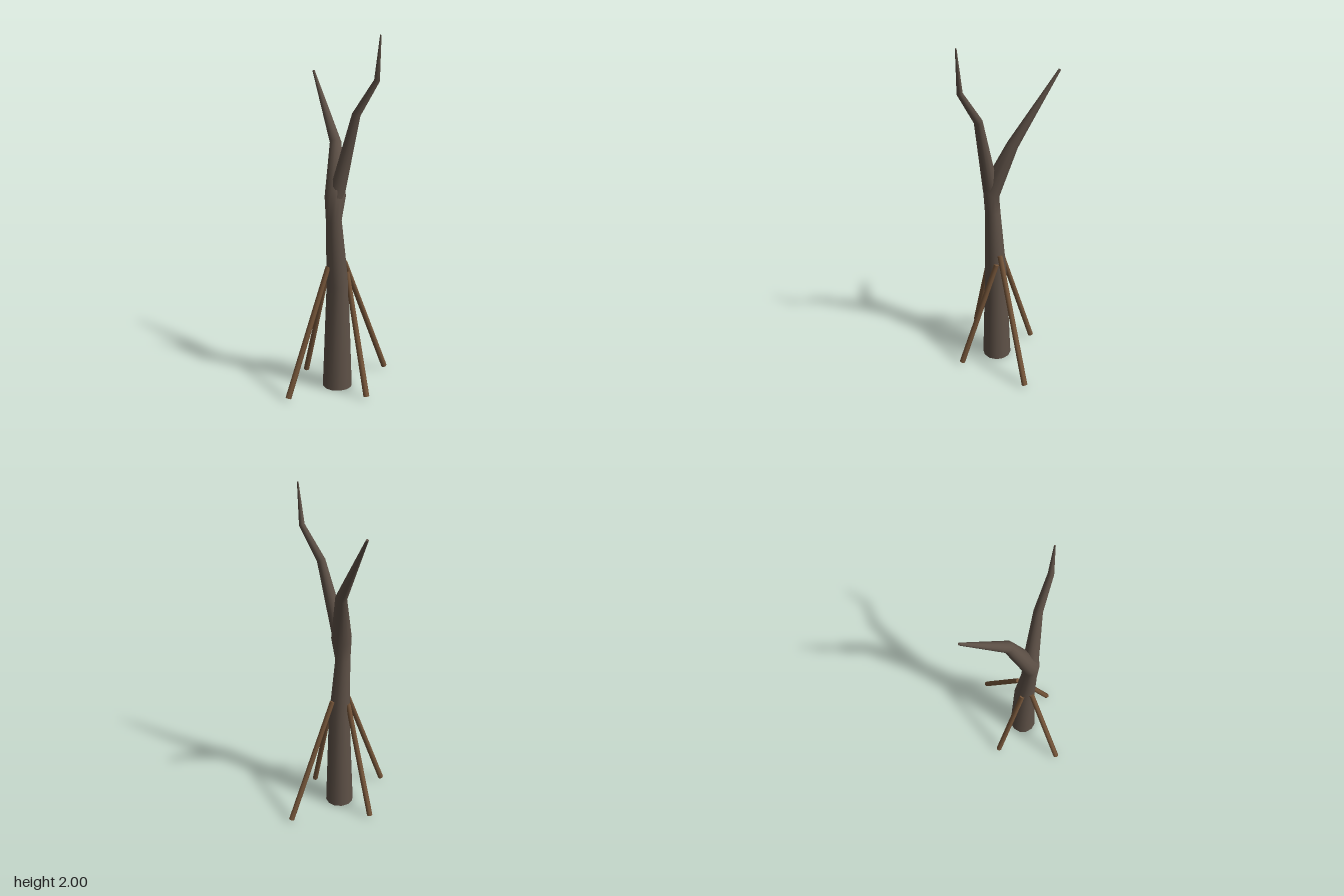
import * as THREE from 'three';

const V = (x, y, z) => new THREE.Vector3(x, y, z);

// Tapered limb skinned over rings: [x, y, z, radius, optional ring normal]
function limb(rings, sides) {
  const pos = [], idx = [];
  const pts = rings.map(r => V(r[0], r[1], r[2]));
  rings.forEach((r, i) => {
    const a = pts[Math.max(i - 1, 0)], b = pts[Math.min(i + 1, pts.length - 1)];
    const n = (r[4] ? V(...r[4]) : b.clone().sub(a)).normalize();
    const q = new THREE.Quaternion().setFromUnitVectors(V(0, 1, 0), n);
    for (let s = 0; s < sides; s++) {
      const t = s / sides * Math.PI * 2;
      const p = V(Math.sin(t) * r[3], 0, Math.cos(t) * r[3]).applyQuaternion(q).add(pts[i]);
      pos.push(p.x, p.y, p.z);
    }
  });
  const last = (rings.length - 1) * sides;
  for (let i = 0; i < rings.length - 1; i++) {
    for (let s = 0; s < sides; s++) {
      const a = i * sides + s, b = i * sides + (s + 1) % sides;
      idx.push(a, b, b + sides, a, b + sides, a + sides);
    }
  }
  // Separate cap vertices keep the end edges sharp
  const bottom = pos.length / 3;
  pos.push(...pos.slice(0, sides * 3));
  const top = pos.length / 3;
  pos.push(...pos.slice(last * 3, (last + sides) * 3));
  for (let s = 1; s < sides - 1; s++) {
    idx.push(bottom, bottom + s + 1, bottom + s, top, top + s, top + s + 1);
  }
  const g = new THREE.BufferGeometry();
  g.setAttribute('position', new THREE.Float32BufferAttribute(pos, 3));
  g.setIndex(idx);
  g.computeVertexNormals();
  return g;
}

export function createModel() {
  const group = new THREE.Group();
  const bark = new THREE.MeshStandardMaterial({ name: 'greyBark', color: 0x5e5147 });
  const wood = new THREE.MeshStandardMaterial({ name: 'brownWood', color: 0x755539 });
  const add = (name, geometry, material) => {
    const mesh = new THREE.Mesh(geometry, material);
    mesh.name = name;
    group.add(mesh);
  };

  // Trunk, bending back into the rear branch
  add('trunkAndRearBranch', limb([
    [-0.012, 0, 0.06, 0.087, [0, 1, 0]],
    [-0.011, 0.62, 0.063, 0.064],
    [-0.035, 1.0, 0.079, 0.045],
    [-0.028, 1.14, 0.087, 0.06, [0, 1, -0.8]],
    [-0.006, 1.43, -0.035, 0.033],
    [-0.095, 1.825, -0.28, 0.007],
  ], 12), bark);

  // Front branch, forking from the trunk
  add('frontBranch', limb([
    [-0.022, 1.14, 0.086, 0.046],
    [0.077, 1.59, 0.143, 0.024],
    [0.17, 1.77, 0.225, 0.016],
    [0.185, 2.0, 0.235, 0.004],
  ], 12), bark);

  // Leaning support stakes: foot, then head against the trunk
  [
    [[0.316, 0.014, -0.122], [0.035, 0.745, 0.035]],
    [[0.12, 0.014, 0.27], [0.045, 0.69, 0.055]],
    [[-0.318, 0.014, 0.216], [-0.07, 0.735, 0.09]],
    [[-0.17, 0.014, -0.155], [-0.06, 0.72, 0.035]],
  ].forEach(([foot, head], i) => {
    add('supportStake' + (i + 1), limb([[...foot, 0.017], [...head, 0.015]], 8), wood);
  });

  return group;
}
